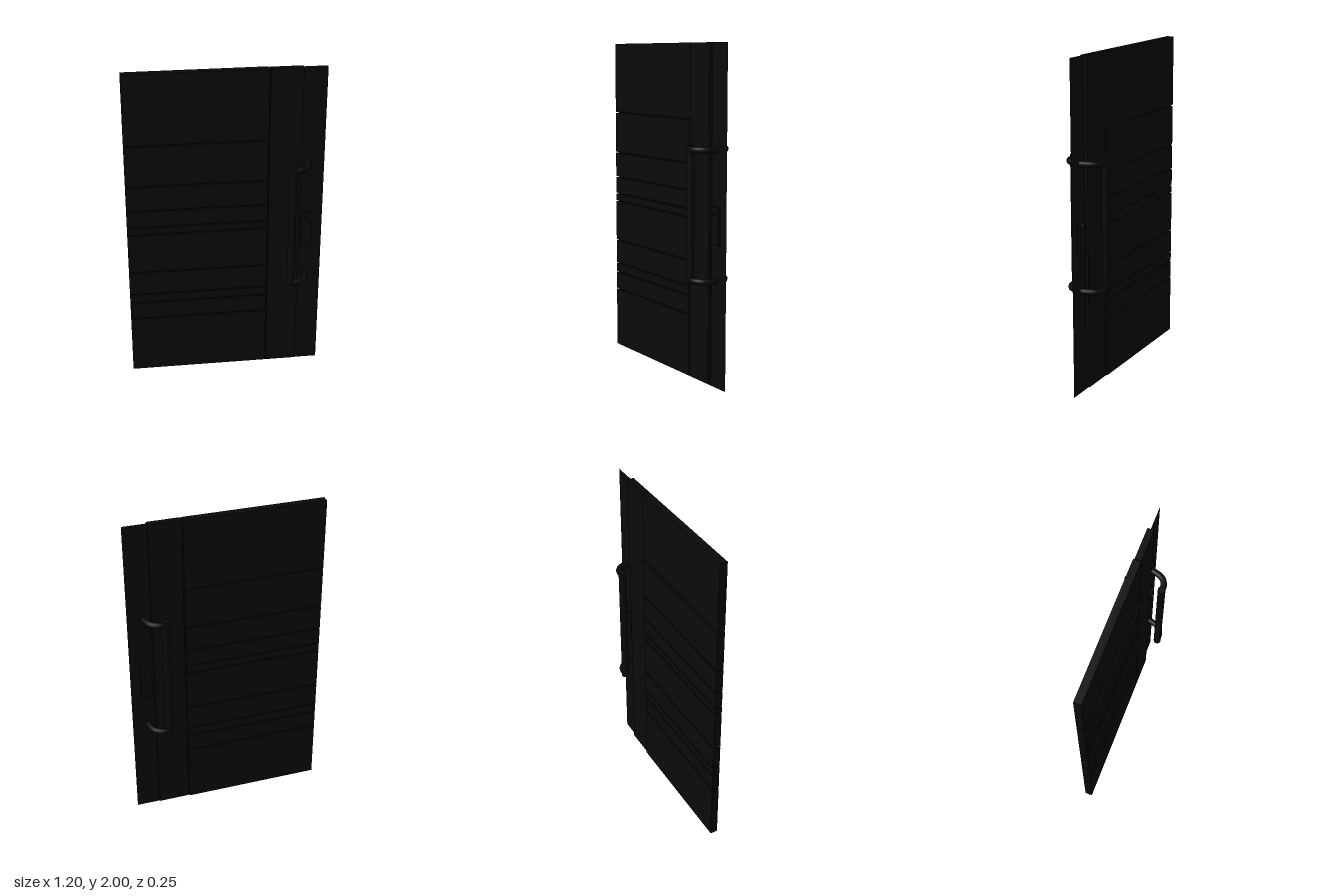
import * as THREE from 'three';

const black = new THREE.MeshStandardMaterial({ color: 0x0a0a0a });
const blackSheet = new THREE.MeshStandardMaterial({ color: 0x0a0a0a, side: THREE.DoubleSide });

function add(parent, name, geometry, x = 0, y = 0, z = 0, material = black) {
  const mesh = new THREE.Mesh(geometry, material);
  mesh.name = name;
  mesh.position.set(x, y, z);
  parent.add(mesh);
  return mesh;
}

// Box given by its minimum and maximum corners
function block(parent, name, [x0, y0, z0], [x1, y1, z1]) {
  return add(parent, name, new THREE.BoxGeometry(x1 - x0, y1 - y0, z1 - z0),
    (x0 + x1) / 2, (y0 + y1) / 2, (z0 + z1) / 2);
}

export function createModel() {
  const door = new THREE.Group();
  door.name = 'door';

  // Thin sheet behind the boards, exposed along the handle edge
  add(door, 'coreSheet', new THREE.PlaneGeometry(1.2, 2), 0, 1, -0.003, blackSheet);

  // Horizontal boards, separated by narrow grooves
  const grooves = [0.39, 0.505, 0.565, 0.72, 0.98, 1.03, 1.14, 1.3, 1.56];
  const gap = 0.004;
  const boards = new THREE.Group();
  boards.name = 'boards';
  door.add(boards);
  const edges = [0.012 - gap, ...grooves, 2 + gap];
  for (let i = 0; i < edges.length - 1; i++) {
    block(boards, 'board', [-0.6, edges[i] + gap, -0.029], [0.257, edges[i + 1] - gap, 0.017]);
  }

  // Vertical stile beside the boards
  block(door, 'stile', [0.262, 0.012, -0.022], [0.456, 2, 0.017]);

  // Pull handle: a bar on each face, joined by two curved arms around the edge
  const handle = new THREE.Group();
  handle.name = 'pullHandle';
  door.add(handle);
  for (const side of [-1, 1]) {
    add(handle, 'handleBar', new THREE.CylinderGeometry(0.023, 0.023, 0.8, 16), 0.395, 1.02, side * 0.104);
  }
  const half = [[0.395, 0.104], [0.44, 0.102], [0.48, 0.076], [0.498, 0.03]];
  const points = [...half, [0.503, 0], ...half.map(([x, z]) => [x, -z]).reverse()];
  const arc = new THREE.CatmullRomCurve3(points.map(([x, z]) => new THREE.Vector3(x, 0, z)));
  for (const y of [0.636, 1.396]) {
    add(handle, 'handleArm', new THREE.TubeGeometry(arc, 20, 0.019, 12), 0, y, 0);
  }

  // Lock case with a small cylinder through it
  const lock = new THREE.Group();
  lock.name = 'lock';
  door.add(lock);
  block(lock, 'lockCase', [0.47, 0.85, -0.017], [0.538, 1.07, 0.013]);
  const barrel = add(lock, 'lockCylinder', new THREE.CylinderGeometry(0.012, 0.012, 0.05, 16), 0.505, 1.035, -0.002);
  barrel.rotation.x = Math.PI / 2;

  return door;
}
